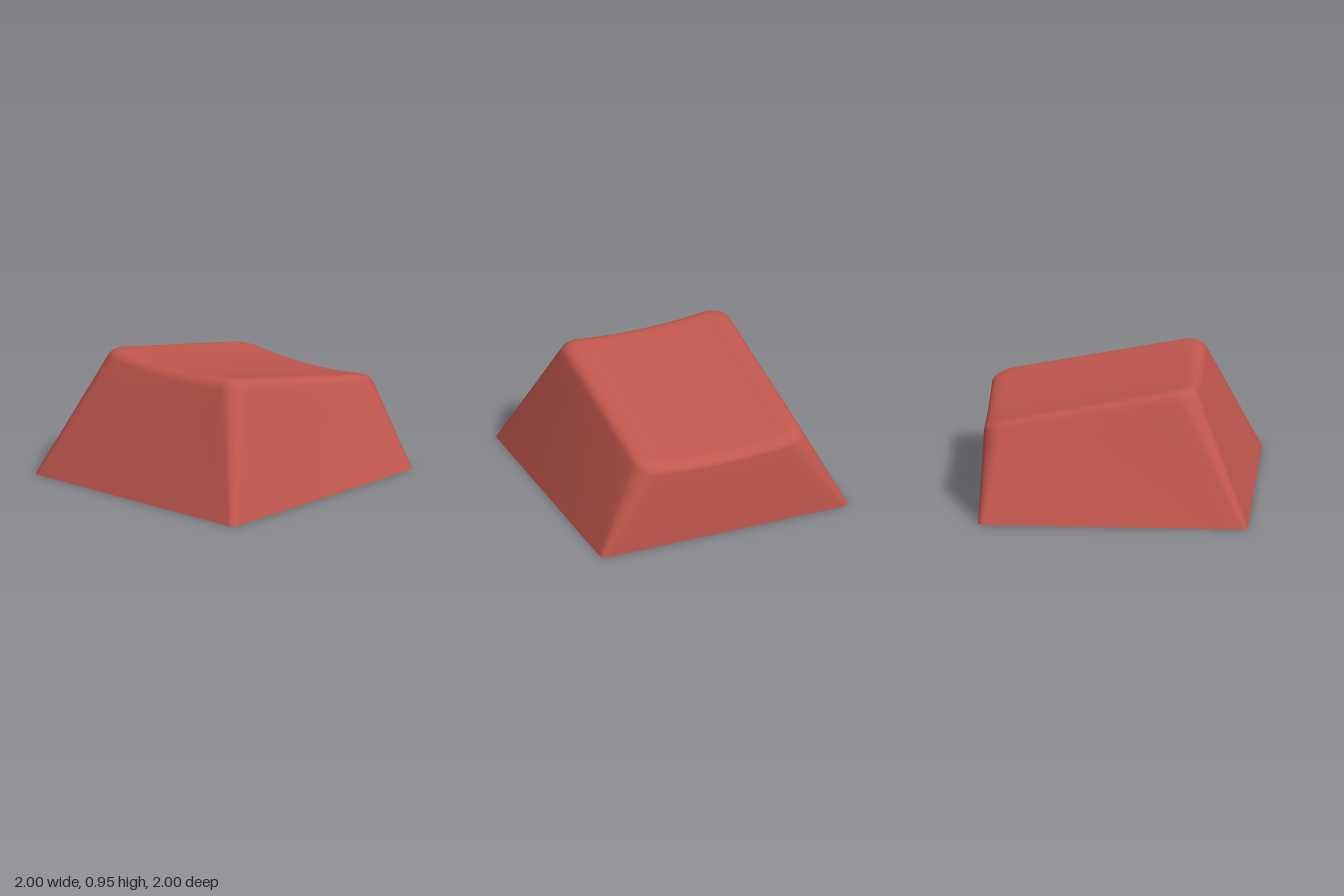
import * as THREE from 'three';
import { toCreasedNormals } from 'three/addons/utils/BufferGeometryUtils.js';

const ARC = 8, SIDE = 14;

// Rounded rectangle in plan, always with the same point count so outlines can be lofted
function outline(hx, zBack, zFront, r) {
  const corners = [[hx - r, zFront - r], [-hx + r, zFront - r], [-hx + r, zBack + r], [hx - r, zBack + r]];
  const pts = [];
  corners.forEach(([cx, cz], k) => {
    for (let i = 0; i <= ARC; i++) {
      const a = (k + i / ARC) * Math.PI / 2;
      pts.push(new THREE.Vector3(cx + r * Math.cos(a), 0, cz + r * Math.sin(a)));
    }
    const [nx, nz] = corners[(k + 1) % 4];
    const a = (k + 1) * Math.PI / 2;
    const end = new THREE.Vector3(nx + r * Math.cos(a), 0, nz + r * Math.sin(a));
    const start = pts[pts.length - 1];
    for (let i = 1; i < SIDE; i++) pts.push(start.clone().lerp(end, i / SIDE));
  });
  return pts;
}

// Skin a list of equal-length rings
function loft(rings) {
  const n = rings[0].length, pos = [], idx = [];
  rings.forEach(ring => ring.forEach(p => pos.push(p.x, p.y, p.z)));
  for (let i = 0; i < rings.length - 1; i++) {
    for (let j = 0; j < n; j++) {
      const a = i * n + j, b = i * n + (j + 1) % n, c = a + n, d = b + n;
      idx.push(a, c, d, a, d, b);
    }
  }
  const g = new THREE.BufferGeometry();
  g.setAttribute('position', new THREE.Float32BufferAttribute(pos, 3));
  g.setIndex(idx);
  return toCreasedNormals(g, 0.6);
}

// Sloped top, dished across its width; flat sloped ceiling inside
const dish = (x, z) => 0.81 + 0.2 * z + 0.05 * (x / 0.62) ** 2;
const ceiling = (x, z) => 0.66 + 0.2 * z;
const raise = (pts, f) => pts.map(p => new THREE.Vector3(p.x, f(p.x, p.z), p.z));
const shrink = (pts, k, zc) => pts.map(p => new THREE.Vector3(p.x * k, 0, zc + (p.z - zc) * k));

function shellGeometry() {
  const base = outline(1, -1, 1, 0.045);
  const mouth = outline(0.85, -0.85, 0.85, 0);
  const roof = outline(0.58, -0.83, 0.55, 0);
  const edge = raise(outline(0.652, -0.977, 0.588, 0.15), dish);
  const inset = raise(outline(0.56, -0.87, 0.49, 0.1), dish);
  const rings = [raise(shrink(roof, 0, -0.14), ceiling), raise(roof, ceiling), mouth, base];
  // straight walls
  for (const t of [0.25, 0.5, 0.75]) rings.push(base.map((p, j) => p.clone().lerp(edge[j], t)));
  // rounded shoulder
  const shoulder = base.map((p, j) =>
    new THREE.QuadraticBezierCurve3(p.clone().lerp(edge[j], 0.92), edge[j], inset[j]));
  for (let i = 0; i <= 10; i++) rings.push(shoulder.map(c => c.getPoint(i / 10)));
  // dished top
  for (let i = 9; i >= 0; i--) rings.push(raise(shrink(inset, i / 10, -0.19), dish));
  return loft(rings);
}

// Round post with a cross-shaped socket
function stemGeometry() {
  const shape = new THREE.Shape().absarc(0, 0, 0.31, 0, Math.PI * 2, false);
  const L = 0.225, w = 0.07;
  const cross = [[L, w], [w, w], [w, L], [-w, L], [-w, w], [-L, w],
    [-L, -w], [-w, -w], [-w, -L], [w, -L], [w, -w], [L, -w]];
  shape.holes.push(new THREE.Path(cross.map(([x, y]) => new THREE.Vector2(x, y))));
  const g = new THREE.ExtrudeGeometry(shape, {
    depth: 0.55, curveSegments: 48, bevelThickness: 0.02, bevelSize: 0.02, bevelOffset: -0.02, bevelSegments: 1,
  });
  g.rotateX(-Math.PI / 2).translate(0, 0.15, 0);
  return toCreasedNormals(g, 0.5);
}

// Thin upright rib: side profile given as [along, height] points
function ribGeometry(profile) {
  const g = new THREE.ExtrudeGeometry(new THREE.Shape(profile.map(([a, b]) => new THREE.Vector2(a, b))),
    { depth: 0.1, bevelEnabled: false });
  return g.translate(0, 0, -0.05);
}

export function createModel() {
  const group = new THREE.Group();
  const red = new THREE.MeshStandardMaterial({ color: 0xc1574d });
  const grey = new THREE.MeshStandardMaterial({ color: 0xcccccc });
  const add = (name, geometry, material) => {
    const mesh = new THREE.Mesh(geometry, material);
    mesh.name = name;
    group.add(mesh);
    return mesh;
  };

  add('capShell', shellGeometry(), red);
  add('stem', stemGeometry(), grey);

  // Ribs between post and walls, tops buried in the ceiling
  for (const s of [-1, 1]) {
    const rib = add('sideRib', ribGeometry([[0.29, 0.51], [0.68, 0.51], [0.63, 0.7], [0.29, 0.7]]), red);
    if (s < 0) rib.rotation.y = Math.PI;
  }
  const front = add('frontRib', ribGeometry([[0.29, 0.52], [0.66, 0.52], [0.6, 0.8], [0.29, 0.74]]), red);
  front.rotation.y = -Math.PI / 2;
  const back = add('backRib', ribGeometry([[0.29, 0.51], [0.75, 0.51], [0.75, 0.54], [0.29, 0.64]]), red);
  back.rotation.y = Math.PI / 2;
  return group;
}
